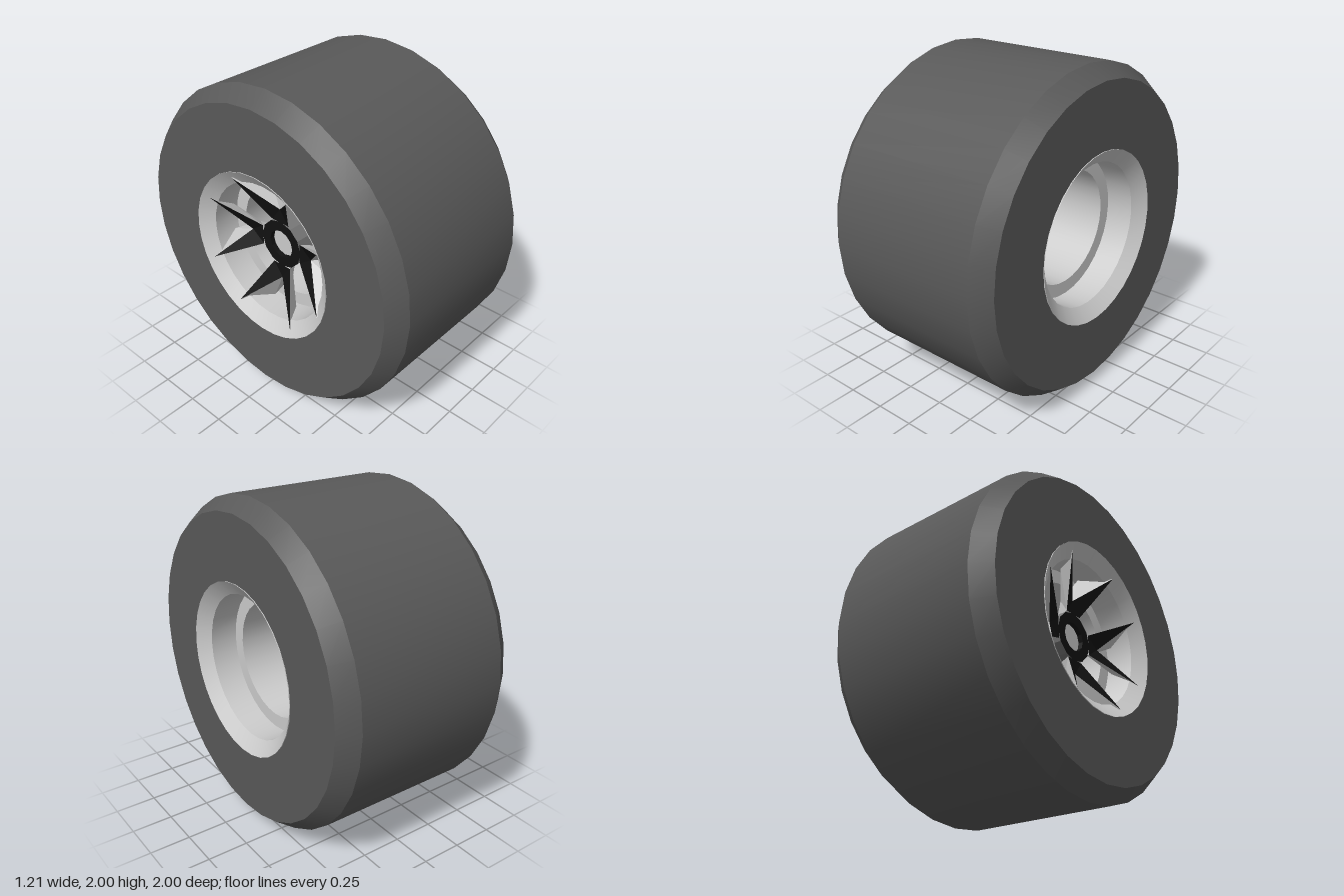
import * as THREE from 'three';
import { toCreasedNormals } from 'three/addons/utils/BufferGeometryUtils.js';

const grey = new THREE.MeshStandardMaterial({ color: 0xcccccc });
const rubber = new THREE.MeshStandardMaterial({ color: 0x595959 });
const dark = new THREE.MeshStandardMaterial({ color: 0x111111 });
const hubGrey = new THREE.MeshStandardMaterial({ color: 0x777777 });

// Turned part about the x axis; profile is [radius, x] pairs
function turned(name, profile, sides, material, crease = 0.5) {
  const pts = profile.map(([r, x]) => new THREE.Vector2(r, x));
  const geo = new THREE.LatheGeometry(pts, sides).rotateZ(-Math.PI / 2);
  const mesh = new THREE.Mesh(toCreasedNormals(geo, crease), material);
  mesh.name = name;
  return mesh;
}

// Flat-faced mesh from triangles of corner points, mirrored in z when side is -1
function facets(name, triangles, side, material) {
  const pos = [];
  for (const [a, b, c] of triangles) {
    for (const p of side > 0 ? [a, b, c] : [a, c, b]) pos.push(p[0], p[1], p[2] * side);
  }
  const geo = new THREE.BufferGeometry();
  geo.setAttribute('position', new THREE.Float32BufferAttribute(pos, 3));
  geo.computeVertexNormals();
  const mesh = new THREE.Mesh(geo, material);
  mesh.name = name;
  return mesh;
}

// One arm of a forked spoke: dark front face tapering to a tip, sloped back, inner wall
function spokeArm(side) {
  const root = [-0.42, 0.15, 0.065], tip = [-0.58, 0.433, 0.215];
  const fork = [-0.42, 0.24, 0], frontMid = [-0.42, 0.15, 0];
  const backMid = [-0.3, 0.15, 0], backFork = [-0.33, 0.27, 0], backEnd = [-0.4, 0.43, 0.09];
  const arm = new THREE.Group();
  arm.name = 'spokeArm';
  arm.add(
    facets('spokeFront', [[root, tip, fork], [root, fork, frontMid]], side, dark),
    facets('spokeBack', [
      [root, backEnd, tip], [root, backFork, backEnd], [root, backMid, backFork],
      [fork, tip, backEnd], [fork, backEnd, backFork],
    ], side, grey),
  );
  return arm;
}

export function createModel() {
  const wheel = new THREE.Group();
  wheel.name = 'wheel';

  // Tyre with chamfered shoulders
  wheel.add(turned('tyre', [
    [0.525, -0.6], [0.92, -0.6], [1, -0.49], [1, 0.49], [0.92, 0.6], [0.525, 0.6],
  ], 32, rubber));

  // Rim: lip, bevel, outer barrel, step and inner barrel
  wheel.add(turned('rim', [
    [0.525, 0.6], [0.525, 0.605], [0.44, 0.54], [0.44, 0.37], [0.355, 0.37],
    [0.355, -0.37], [0.44, -0.37], [0.44, -0.54], [0.525, -0.605], [0.525, -0.6],
  ], 32, grey));

  // Four forked spokes
  for (let i = 0; i < 4; i++) {
    const spoke = new THREE.Group();
    spoke.name = 'spoke';
    spoke.add(spokeArm(1), spokeArm(-1));
    spoke.rotation.x = i * Math.PI / 2;
    wheel.add(spoke);
  }

  // Hub with its faces
  wheel.add(turned('hub', [
    [0.155, -0.42], [0.155, -0.28], [0.12, -0.24], [0.1, -0.24],
  ], 12, hubGrey, 0.3));
  wheel.add(turned('hubFront', [[0.09, -0.39], [0.09, -0.42], [0.155, -0.42]], 12, dark));
  wheel.add(turned('hubRecess', [[0, -0.39], [0.09, -0.39]], 12, grey));
  wheel.add(turned('axleCap', [[0.105, -0.25], [0.1, -0.22], [0.085, -0.205], [0, -0.195]], 24, grey));

  wheel.position.y = 1;
  const model = new THREE.Group();
  model.name = 'wheelModel';
  model.add(wheel);
  return model;
}
